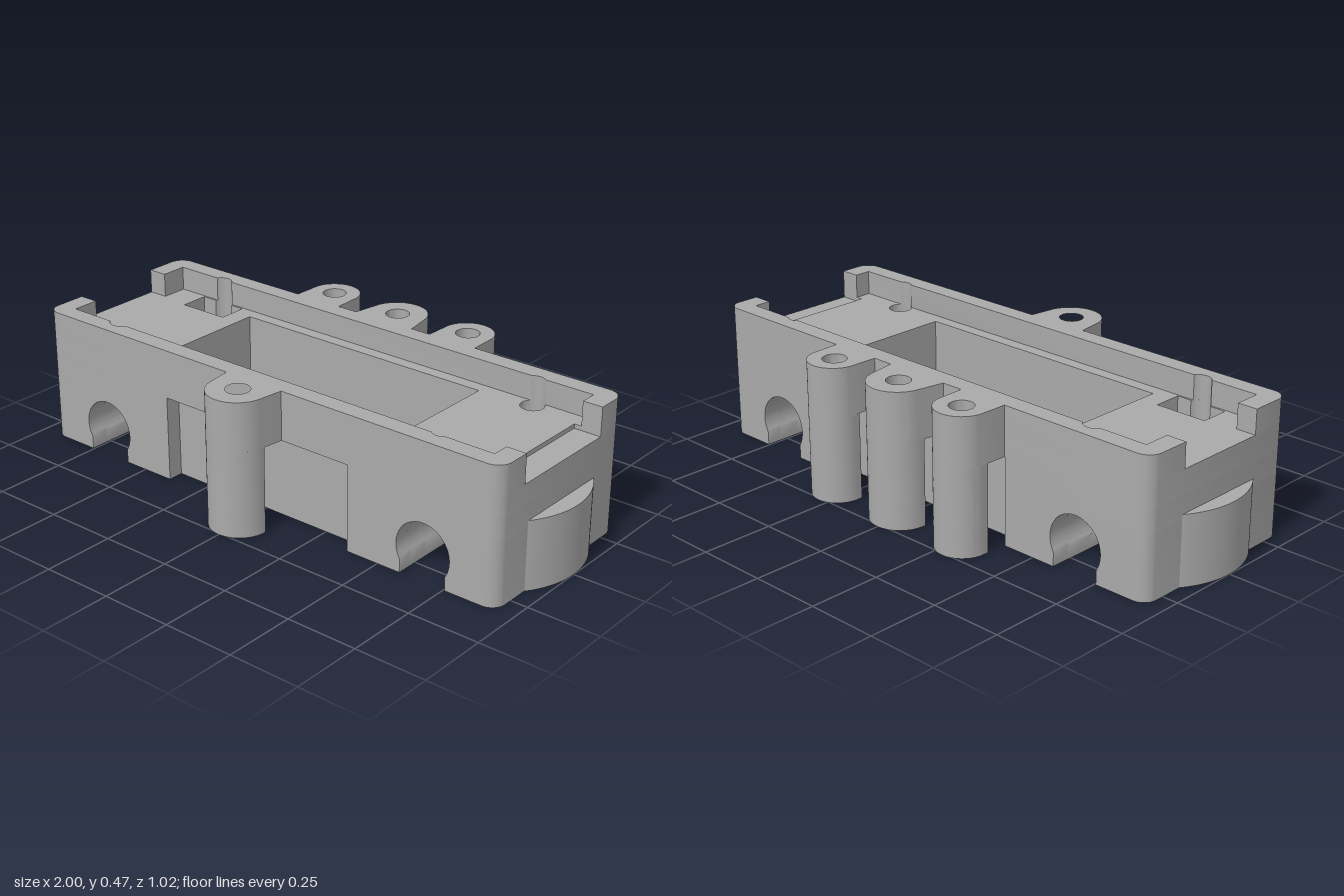
import * as THREE from 'three';
import { toCreasedNormals } from 'three/addons/utils/BufferGeometryUtils.js';

const { PI } = Math;
const X0 = -0.945, X1 = 0.94, ZW = 0.33, R = 0.05; // body plan
const AXLE_X = 0.67, AXLE_R = 0.1, BLOCK_TOP = 0.22;

const pts = (list) => list.map(([x, y]) => new THREE.Vector2(x, y));

function arc(cx, cy, r, a0, a1, n = 14) {
  const out = [];
  for (let i = 0; i <= n; i++) {
    const a = a0 + ((a1 - a0) * i) / n;
    out.push([cx + r * Math.cos(a), cy + r * Math.sin(a)]);
  }
  return out;
}

const mirrorZ = (list, s) => list.map(([x, z]) => [x, z * s]);

function extrude(outline, depth, holes = []) {
  const shape = new THREE.Shape(pts(outline));
  holes.forEach((h) => shape.holes.push(new THREE.Path(pts(h))));
  return new THREE.ExtrudeGeometry(shape, { depth, bevelEnabled: false });
}

export function createModel() {
  const model = new THREE.Group();
  const grey = new THREE.MeshStandardMaterial({ color: 0xaaaaaa });
  grey.name = 'grey plastic';

  function add(name, geometry, parent = model) {
    const mesh = new THREE.Mesh(toCreasedNormals(geometry, 0.6), grey);
    mesh.name = name;
    parent.add(mesh);
    return mesh;
  }
  // outline given as (x, z), raised from y0 to y1
  function plan(name, outline, y0, y1, holes = [], parent = model) {
    const flip = (l) => mirrorZ(l, -1);
    const g = extrude(flip(outline), y1 - y0, holes.map(flip));
    g.rotateX(-PI / 2).translate(0, y0, 0);
    return add(name, g, parent);
  }
  const rect = (xa, xb, za, zb) => [[xa, za], [xb, za], [xb, zb], [xa, zb]];

  // Deck layers with the central opening, screw bores and slots
  const rightBore = (s) => mirrorZ(arc(AXLE_X, 0.235, 0.04, 0, PI * 1.95, 24), s);
  const bite = (cx, cz) => arc(cx, cz, 0.04, Math.asin((0.265 - cz) / 0.04), PI - Math.asin((0.265 - cz) / 0.04));
  const leftSlot = (s) => mirrorZ([
    [-0.765, 0.155], [-0.58, 0.155], [-0.58, 0.258],
    ...arc(-AXLE_X, 0.245, 0.04, Math.asin(0.013 / 0.04), PI - Math.asin(0.013 / 0.04)),
    [-0.765, 0.258],
  ], s);
  const deckHoles = [rect(-0.51, 0.475, -0.22, 0.22),
    rightBore(1), rightBore(-1), leftSlot(1), leftSlot(-1)];

  function deckOutline(recessed, notched) {
    const front = recessed ? [[-0.385, ZW], [-0.385, 0.275], [0.38, 0.275], [0.38, ZW]] : [];
    const half = [...arc(X0 + R, ZW - R, R, PI, PI / 2, 8), ...front,
      ...arc(X1 - R, ZW - R, R, PI / 2, 0, 8)];
    if (notched) half.push([X1, 0.205], [0.845, 0.205]);
    return [...half, ...mirrorZ(half, -1).reverse()];
  }
  plan('lowerDeck', deckOutline(true, false), BLOCK_TOP, 0.3, deckHoles);
  plan('middleDeck', deckOutline(false, false), 0.3, 0.37, deckHoles);
  plan('upperDeck', deckOutline(false, true), 0.37, 0.385, deckHoles);

  // Raised rim, open at both ends
  for (const s of [1, -1]) {
    plan('rim', mirrorZ([
      [X0, 0.17], ...arc(X0 + R, ZW - R, R, PI, PI / 2, 8),
      ...arc(X1 - R, ZW - R, R, PI / 2, 0, 8),
      [X1, 0.205], [0.87, 0.205], [0.87, 0.265],
      ...bite(AXLE_X, 0.235), ...bite(-AXLE_X, 0.245),
      [-0.875, 0.265], [-0.875, 0.17],
    ], s), 0.385, 0.47);
  }

  // Axle blocks: keyhole channel across, opened upwards under the bores
  const low = Math.asin(Math.sqrt(1 - 0.85 ** 2));
  function axleSlice(cx, xa, xb, za, zb, gap) {
    const outlines = [];
    if (!gap) {
      outlines.push([[xa, 0], [cx - 0.085, 0],
        ...arc(cx, 0.1, AXLE_R, PI + low, -low, 36),
        [cx + 0.085, 0], [xb, 0], [xb, BLOCK_TOP], [xa, BLOCK_TOP]]);
    } else {
      const a = Math.acos(gap / AXLE_R);
      outlines.push([[xa, 0], [cx - 0.085, 0],
        ...arc(cx, 0.1, AXLE_R, PI + low, PI - a, 16),
        [cx - gap, BLOCK_TOP], [xa, BLOCK_TOP]]);
      outlines.push([[xb, 0], [cx + 0.085, 0],
        ...arc(cx, 0.1, AXLE_R, -low, a, 16),
        [cx + gap, BLOCK_TOP], [xb, BLOCK_TOP]]);
    }
    outlines.forEach((o) => add('axleBlock', extrude(o, zb - za).translate(0, 0, za)));
  }
  function axleBlock(cx, xa, xb, zIn, zOut, gap) {
    axleSlice(cx, xa, xb, -zIn, zIn);
    axleSlice(cx, xa, xb, zIn, zOut, gap);
    axleSlice(cx, xa, xb, -zOut, -zIn, gap);
    axleSlice(cx, xa, xb, zOut, ZW);
    axleSlice(cx, xa, xb, -ZW, -zOut);
  }
  axleBlock(AXLE_X, 0.475, X1 - R, 0.197, 0.273, 0.038);
  axleBlock(-AXLE_X, X0 + R, -0.51, 0.155, 0.262, 0.0925);

  // Rounded end walls and the bowed bumpers on them
  for (const s of [1, -1]) {
    const xe = s > 0 ? X1 : X0;
    const xi = xe - s * R;
    const corner = arc(0, ZW - R, R, PI / 2, 0, 8).map(([x, z]) => [xi + s * x, z]);
    plan('endWall', [...corner, ...mirrorZ(corner, -1).reverse()], 0, BLOCK_TOP);
    const bow = arc(0.7, 0, 0.3, -0.64, 0.64, 28).map(([x, z]) => [s * x, z]);
    plan('bumper', bow, 0, 0.24);
  }

  // Lower side walls, set back in the middle
  for (const s of [1, -1]) {
    plan('recessedWall', mirrorZ(rect(-0.385, 0.38, 0.22, 0.275), s), 0, BLOCK_TOP);
    plan('sideWall', mirrorZ(rect(0.38, 0.475, 0.22, ZW), s), 0, BLOCK_TOP);
    plan('sideWall', mirrorZ(rect(-0.51, -0.385, 0.22, ZW), s), 0, BLOCK_TOP);
  }

  // Screw posts: full on top, half shell below with a hexagonal nut pocket
  function post(name, cx, cz, r, foot, s) {
    const group = new THREE.Group();
    group.name = name;
    model.add(group);
    const place = (l) => mirrorZ(l, s).map(([x, z]) => [x + cx, z]);
    const top = [[foot, 0.325], ...arc(0, cz, r, 0.12, PI - 0.12, 28), [-foot, 0.325]];
    plan('postTop', place(top), 0.3, 0.47, [place(arc(0, cz, 0.041, 0, PI * 1.95, 28))], group);
    const shell = (inner, n) => place([
      [r, 0.4], ...arc(0, cz, r, 0, PI, 28), [-r, 0.4],
      [-inner, 0.4], ...arc(0, cz, inner, PI, 0, n), [inner, 0.4],
    ]);
    plan('postShell', shell(0.041, 16), 0.09, 0.3, [], group);
    plan('nutPocket', shell(0.07, 3), 0, 0.09, [], group);
  }
  post('frontPost', 0, 0.403, 0.104, 0.115, 1);
  post('backPostMiddle', 0, 0.408, 0.104, 0.12, -1);
  post('backPostRight', -0.288, 0.42, 0.09, 0.092, -1);
  post('backPostLeft', 0.285, 0.42, 0.09, 0.092, -1);

  return model;
}
